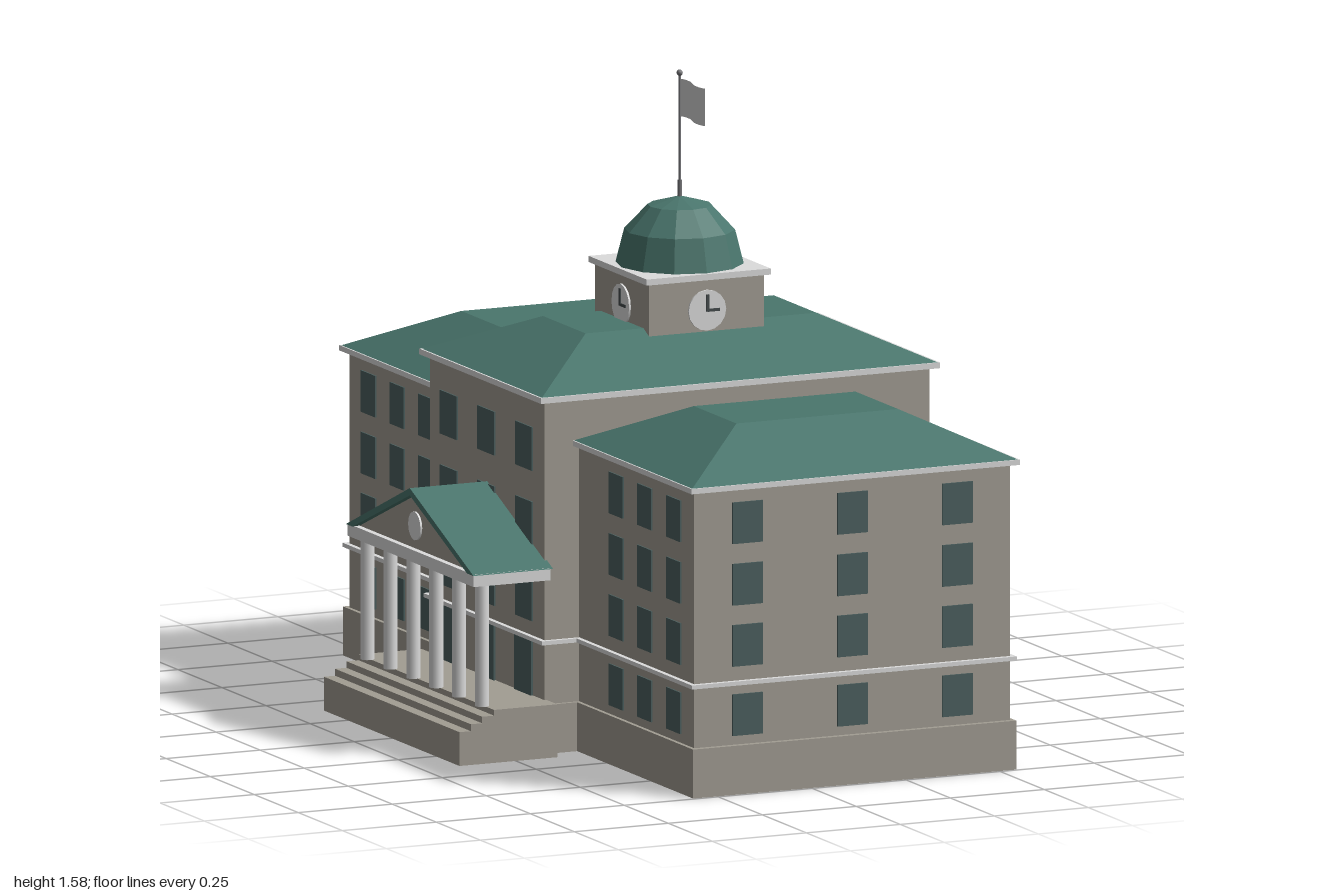
import * as THREE from 'three';

const mat = (name, color, side = THREE.FrontSide) =>
  Object.assign(new THREE.MeshStandardMaterial({ color, side }), { name });

export function createModel() {
  const stone = mat('stone', 0xa29d93);
  const trim = mat('trim', 0xdcdcdc);
  const copper = mat('copper', 0x4a766d);
  copper.flatShading = true;
  const glass = mat('glass', 0x4c605f);
  const metal = mat('metal', 0x77777a);
  const hand = mat('clockHand', 0x444a4c);
  const cloth = mat('flagCloth', 0xd4d4d4, THREE.DoubleSide);

  const model = new THREE.Group();
  model.name = 'cityHall';
  const CX = 0.116; // axis of the main building

  const add = (name, geo, material, x, y, z, parent = model) => {
    const m = new THREE.Mesh(geo, material);
    m.name = name;
    m.position.set(x, y, z);
    parent.add(m);
    return m;
  };
  // box given by half sizes in x and z, and bottom and top heights
  const block = (name, material, x, z, hx, hz, y0, y1) =>
    add(name, new THREE.BoxGeometry(hx * 2, y1 - y0, hz * 2), material, x, (y0 + y1) / 2, z);

  // hipped roof with a flat top: a box whose upper corners move inward
  const hipRoof = (name, x, z, hx, hz, tx, tz, y0, y1) => {
    const m = block(name, copper, x, z, hx, hz, y0, y1);
    const p = m.geometry.attributes.position;
    for (let i = 0; i < p.count; i++) {
      if (p.getY(i) > 0) {
        p.setX(i, Math.sign(p.getX(i)) * tx);
        p.setZ(i, Math.sign(p.getZ(i)) * tz);
      }
    }
    m.geometry.computeVertexNormals();
  };

  // thin window plates on a wall; axis is the wall's facing direction
  const windows = (axis, wall, along, rows, w, h) => {
    for (const a of along) for (const y of rows) {
      if (axis === 'x') add('window', new THREE.BoxGeometry(0.006, h, w), glass, wall, y, a);
      else add('window', new THREE.BoxGeometry(w, h, 0.006), glass, a, y, wall);
    }
  };

  // central block
  block('mainBase', stone, CX, 0, 0.523, 0.336, 0, 0.12);
  block('mainWalls', stone, CX, 0, 0.512, 0.326, 0.12, 0.865);
  block('mainBand', trim, CX, 0, 0.524, 0.337, 0.267, 0.277);
  block('mainEave', trim, CX, 0, 0.531, 0.346, 0.862, 0.876);
  hipRoof('mainRoof', CX, 0, 0.526, 0.341, 0.307, 0.121, 0.876, 0.977);
  const mainRows = [0.2, 0.366, 0.552, 0.735];
  windows('x', CX + 0.513, [-0.213, 0, 0.213], mainRows, 0.096, 0.107);
  windows('x', CX - 0.513, [-0.213, 0, 0.213], mainRows.slice(1), 0.096, 0.107);

  // front and back wings
  const wingRows = [0.193, 0.363, 0.513, 0.664];
  for (const s of [1, -1]) {
    block('wingBase', stone, CX, s * 0.66, 0.43, 0.334, 0, 0.12);
    block('wingWalls', stone, CX, s * 0.65, 0.42, 0.329, 0.12, 0.752);
    block('wingBand', trim, CX, s * 0.65, 0.432, 0.342, 0.267, 0.277);
    block('wingEave', trim, CX, s * 0.66, 0.437, 0.34, 0.748, 0.761);
    hipRoof('wingRoof', CX, s * 0.66, 0.433, 0.336, 0.215, 0.121, 0.761, 0.865);
    windows('z', s * 0.98, [CX - 0.279, CX, CX + 0.279], wingRows, 0.08, 0.102);
    for (const side of [1, -1])
      windows('x', CX + side * 0.421, [0.54, 0.702, 0.866].map(z => s * z), wingRows, 0.08, 0.102);
  }

  // clock tower
  block('towerWalls', stone, CX, 0, 0.153, 0.153, 0.9, 1.092);
  block('towerCornice', trim, CX, 0, 0.165, 0.165, 1.09, 1.105);
  for (let i = 0; i < 4; i++) {
    const clock = new THREE.Group();
    clock.name = 'clock';
    clock.position.set(CX, 1.015, 0);
    clock.rotation.y = i * Math.PI / 2;
    const face = add('clockFace', new THREE.CylinderGeometry(0.05, 0.05, 0.008, 16), trim, 0, 0, 0.154, clock);
    face.rotation.x = Math.PI / 2;
    add('minuteHand', new THREE.BoxGeometry(0.007, 0.042, 0.004), hand, 0, 0.018, 0.159, clock);
    add('hourHand', new THREE.BoxGeometry(0.032, 0.007, 0.004), hand, 0.016, 0, 0.159, clock);
    model.add(clock);
  }

  // faceted dome
  const dome = add('dome', new THREE.SphereGeometry(0.155, 12, 3, 0, Math.PI * 2, 0, Math.PI / 2), copper, CX, 1.105, 0);
  dome.scale.y = 1.06;

  // flagpole and waving flag
  add('poleSocket', new THREE.CylinderGeometry(0.006, 0.006, 0.045, 8), metal, CX, 1.285, 0);
  add('flagpole', new THREE.CylinderGeometry(0.003, 0.003, 0.3, 8), metal, CX, 1.42, 0);
  add('poleBall', new THREE.SphereGeometry(0.008, 8, 6), metal, CX, 1.57, 0);
  const flagGeo = new THREE.PlaneGeometry(0.145, 0.092, 6, 1);
  flagGeo.rotateY(-Math.PI / 2);
  flagGeo.translate(0, 0, 0.0725);
  const fp = flagGeo.attributes.position;
  for (let i = 0; i < fp.count; i++) fp.setX(i, 0.007 * Math.sin(fp.getZ(i) / 0.145 * Math.PI * 2));
  flagGeo.computeVertexNormals();
  add('flag', flagGeo, cloth, CX, 1.51, 0);

  // shape in (z, y), extruded toward -x from x0 to x1
  const extrudeX = (name, points, x0, x1, material) => {
    const shape = new THREE.Shape(points.map(p => new THREE.Vector2(...p)));
    const m = add(name, new THREE.ExtrudeGeometry(shape, { depth: x0 - x1, bevelEnabled: false }), material, x0, 0, 0);
    m.rotation.y = -Math.PI / 2;
  };

  // entrance portico on the right-hand side: steps, columns and gable
  [[-0.65, 0.083], [-0.62, 0.1], [-0.59, 0.116], [-0.558, 0.13]].forEach(([x, y]) =>
    block('step', stone, (x - 0.39) / 2, 0, (-0.39 - x) / 2, 0.385, 0, y));
  for (let i = 0; i < 6; i++)
    add('column', new THREE.CylinderGeometry(0.017, 0.017, 0.3, 12), trim, -0.562, 0.28, -0.325 + i * 0.13);
  block('entablature', trim, -0.4975, 0, 0.1025, 0.358, 0.43, 0.46);
  extrudeX('pediment', [[-0.335, 0.46], [0.335, 0.46], [0, 0.597]], -0.39, -0.585, stone);
  extrudeX('porticoRoof',
    [[-0.362, 0.458], [-0.325, 0.458], [0, 0.592], [0.325, 0.458], [0.362, 0.458], [0, 0.61]],
    -0.39, -0.602, copper);
  const disc = add('pedimentRoundel', new THREE.CylinderGeometry(0.035, 0.035, 0.008, 16), trim, -0.586, 0.516, 0);
  disc.rotation.z = Math.PI / 2;
  for (const z of [-0.213, 0, 0.213])
    add('door', new THREE.BoxGeometry(0.008, 0.14, 0.096), glass, -0.398, 0.2, z);

  return model;
}
